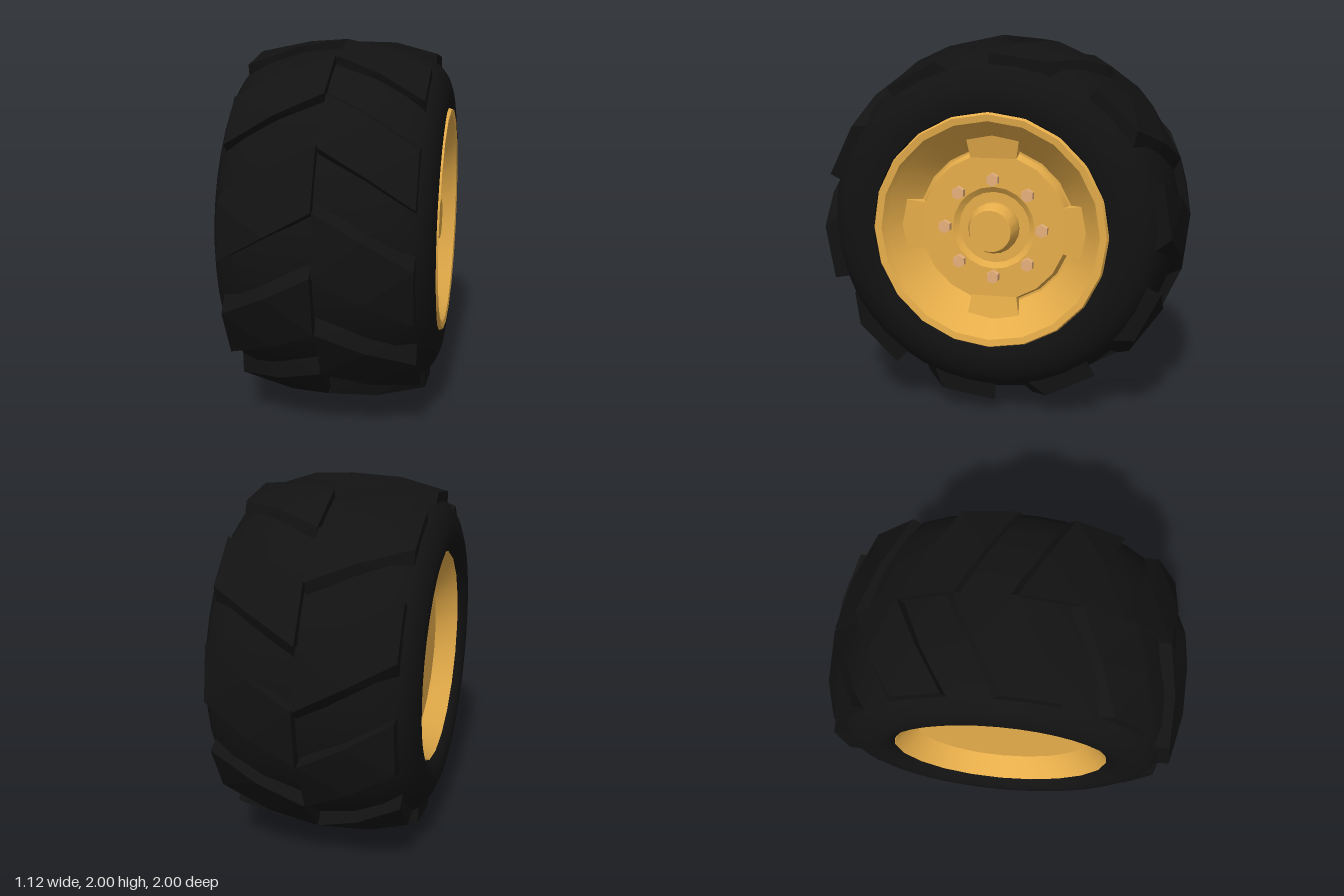
import * as THREE from 'three';
import { toCreasedNormals } from 'three/addons/utils/BufferGeometryUtils.js';

const AXLE_Y = 1.016;
const rubber = new THREE.MeshStandardMaterial({ color: 0x121212 });
const rubberFlat = new THREE.MeshStandardMaterial({ color: 0x121212, flatShading: true });
const paint = new THREE.MeshStandardMaterial({ color: 0xe6ad4a });
const paintFlat = new THREE.MeshStandardMaterial({ color: 0xe6ad4a, flatShading: true });
const boltMetal = new THREE.MeshStandardMaterial({ color: 0xe6b07c, flatShading: true });

function part(name, geometry, material) {
  const mesh = new THREE.Mesh(geometry, material);
  mesh.name = name;
  return mesh;
}

// Revolve [radius, x] points around the axle (x axis)
function revolve(points, sides, crease) {
  const geo = new THREE.LatheGeometry(points.map(([r, x]) => new THREE.Vector2(r, x)), sides);
  geo.rotateZ(-Math.PI / 2);
  return toCreasedNormals(geo, crease);
}

// Chevron tread block: cross-sections from the centre line out to the shoulder,
// with a steep lower end and a sloping upper end
function lugGeometry(side) {
  const sections = [ // x, outer radius, base radius, sweep in degrees
    [0.004, 1.0, 0.9, 0],
    [0.24, 0.98, 0.88, -7.5],
    [0.48, 0.925, 0.82, -16],
  ];
  const positions = [];
  const index = [];
  for (const [x, top, base, sweep] of sections) {
    for (const [r, deg] of [[base, -1], [top, 0], [top, 18], [base, 24]]) {
      const a = THREE.MathUtils.degToRad(deg + sweep);
      positions.push(side * x, r * Math.sin(a), r * Math.cos(a));
    }
  }
  const quad = (a, b, c, d) => index.push(a, b, c, a, c, d);
  for (let i = 0; i < sections.length - 1; i++) {
    for (let j = 0; j < 4; j++) {
      const k = (j + 1) % 4;
      quad(i * 4 + j, i * 4 + 4 + j, i * 4 + 4 + k, i * 4 + k);
    }
  }
  quad(0, 1, 2, 3);
  quad(11, 10, 9, 8);
  if (side < 0) index.reverse();
  const geo = new THREE.BufferGeometry();
  geo.setAttribute('position', new THREE.Float32BufferAttribute(positions, 3));
  geo.setIndex(index);
  geo.computeVertexNormals();
  return geo;
}

// Ramp joining the centre plate to the dish wall
function tabGeometry() {
  const shape = new THREE.Shape([
    new THREE.Vector2(-0.12, 0.36), new THREE.Vector2(0.12, 0.36),
    new THREE.Vector2(0.14, 0.475), new THREE.Vector2(0, 0.49), new THREE.Vector2(-0.14, 0.475),
  ]);
  const geo = new THREE.ExtrudeGeometry(shape, { depth: 0.06, bevelEnabled: false });
  const p = geo.attributes.position;
  for (let i = 0; i < p.count; i++) {
    p.setZ(i, p.getZ(i) + 0.378 + (p.getY(i) - 0.36) * 0.2);
  }
  geo.rotateY(Math.PI / 2);
  geo.computeVertexNormals();
  return geo;
}

export function createModel() {
  const model = new THREE.Group();
  model.name = 'tractorWheel';

  // Tyre carcass: back bead, back wall, tread, front wall, front bead
  const half = [[0.67, 0.56], [0.73, 0.552], [0.79, 0.53], [0.825, 0.505], [0.855, 0.475], [0.9, 0.38], [0.93, 0.22]];
  const profile = [
    [0.575, -0.5], [0.585, -0.522], [0.63, -0.55],
    ...half.map(([r, x]) => [r, -x]), [0.94, 0], ...half.slice().reverse(),
    [0.62, 0.55], [0.6, 0.5],
  ];
  const tyre = part('tyre', revolve(profile, 40, 0.8), rubber);
  tyre.position.y = AXLE_Y;
  model.add(tyre);

  // Tread: ten blocks on each side, staggered by half a pitch
  const tread = new THREE.Group();
  tread.name = 'tread';
  tread.position.y = 1;
  for (const side of [1, -1]) {
    const geo = lugGeometry(side);
    for (let i = 0; i < 10; i++) {
      const lug = part(side > 0 ? 'leftTreadLug' : 'rightTreadLug', geo, rubberFlat);
      const start = -2.6 + (side > 0 ? 0 : -18) + i * 36;
      lug.rotation.x = -THREE.MathUtils.degToRad(start);
      tread.add(lug);
    }
  }
  model.add(tread);

  const wheel = new THREE.Group();
  wheel.name = 'wheel';
  wheel.position.y = AXLE_Y;
  model.add(wheel);

  // Rim with a shallow back recess and a dished outer face
  wheel.add(part('rim', revolve([
    [0, -0.4], [0.485, -0.4], [0.58, -0.515], [0.59, -0.5],
    [0.59, 0.4], [0.62, 0.545], [0.61, 0.565], [0.575, 0.56],
    [0.55, 0.53], [0.42, 0.385], [0, 0.385],
  ], 20, 0.4), paint));

  // Centre plate with a recessed ring and a protruding hub cap
  wheel.add(part('centrePlate', revolve([
    [0.41, 0.38], [0.39, 0.44], [0.22, 0.44], [0.19, 0.42], [0.135, 0.42],
    [0.135, 0.45], [0.11, 0.52], [0, 0.52],
  ], 20, 0.4), paint));

  const tabGeo = tabGeometry();
  for (let i = 0; i < 4; i++) {
    const tab = part('plateTab', tabGeo, paintFlat);
    tab.rotation.x = i * Math.PI / 2;
    wheel.add(tab);
  }

  // Ring of hexagonal bolts
  const boltGeo = new THREE.CylinderGeometry(0.034, 0.036, 0.035, 6);
  boltGeo.rotateZ(-Math.PI / 2);
  for (let i = 0; i < 8; i++) {
    const a = i * Math.PI / 4;
    const bolt = part('wheelBolt', boltGeo, boltMetal);
    bolt.position.set(0.455, 0.26 * Math.cos(a), 0.26 * Math.sin(a));
    bolt.rotation.x = Math.PI / 6;
    wheel.add(bolt);
  }

  return model;
}
